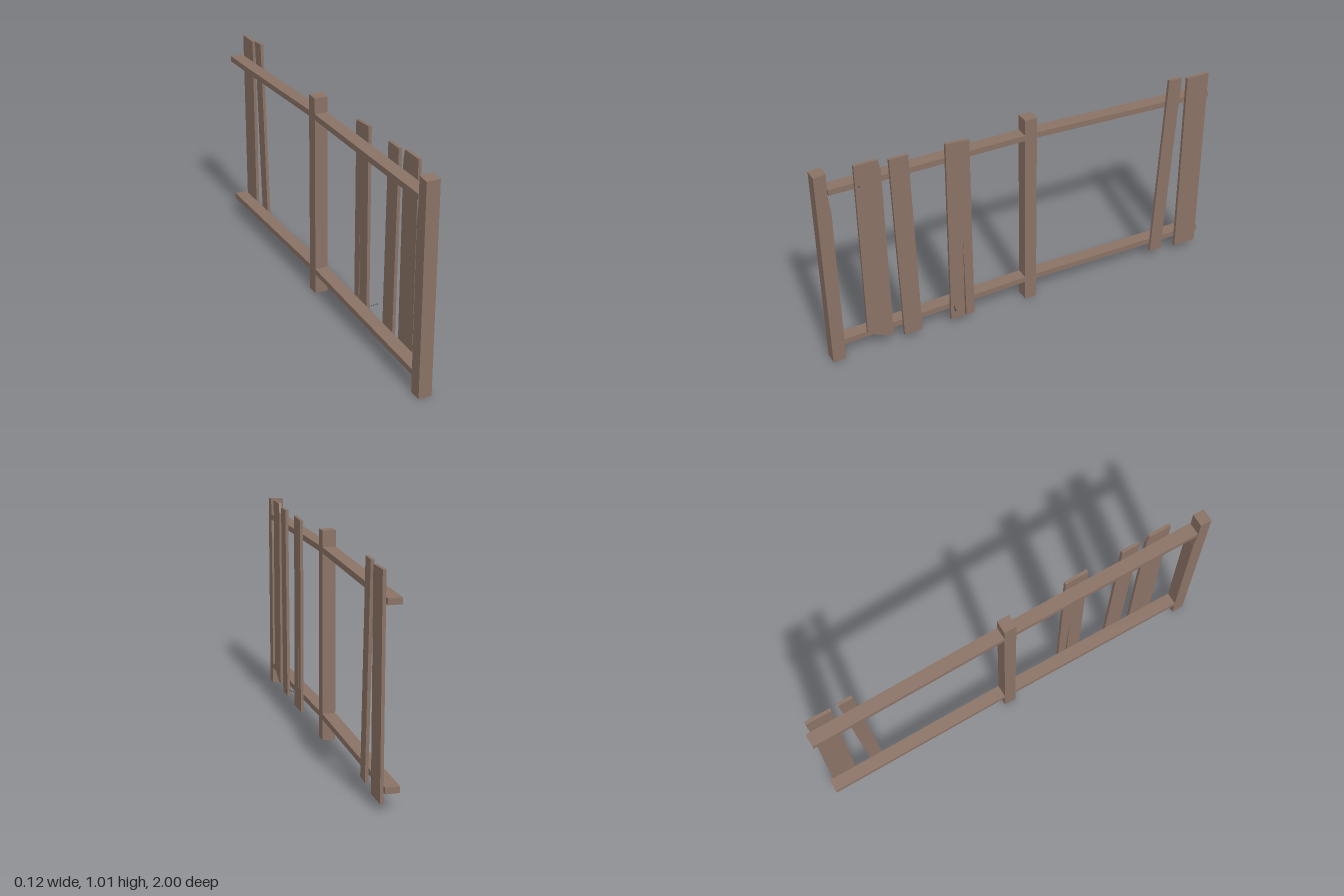
import * as THREE from 'three';

const wood = new THREE.MeshStandardMaterial({ color: 0x8a7265, side: THREE.DoubleSide });
wood.name = 'weathered wood';
const iron = new THREE.MeshStandardMaterial({ color: 0x4a4340 });
iron.name = 'rusty iron';

const BACK = -0.063, FACE = 0, PLANK = 0.015;

// Side outline given as [z, y] points, extruded across x from x0 to x1
function slab(name, points, x0, x1) {
  const shape = new THREE.Shape(points.map(([z, y]) => new THREE.Vector2(z, y)));
  const geo = new THREE.ExtrudeGeometry(shape, { depth: x1 - x0, bevelEnabled: false });
  geo.rotateY(-Math.PI / 2).translate(x1, 0, 0);
  const mesh = new THREE.Mesh(geo, wood);
  mesh.name = name;
  return mesh;
}

// Removes the faces that point down, leaving the foot open
function openFoot(mesh) {
  const pos = mesh.geometry.attributes.position, nor = mesh.geometry.attributes.normal;
  const p = [], n = [];
  for (let i = 0; i < pos.count; i += 3) {
    if (nor.getY(i) < -0.7) continue;
    for (let k = i; k < i + 3; k++) {
      p.push(pos.getX(k), pos.getY(k), pos.getZ(k));
      n.push(nor.getX(k), nor.getY(k), nor.getZ(k));
    }
  }
  const geo = new THREE.BufferGeometry();
  geo.setAttribute('position', new THREE.Float32BufferAttribute(p, 3));
  geo.setAttribute('normal', new THREE.Float32BufferAttribute(n, 3));
  mesh.geometry = geo;
  return mesh;
}

// Rail following a centre line of [z, y] points
function rail(name, line, half = 0.014) {
  const top = line.map(([z, y]) => [z, y + half]);
  const bottom = line.map(([z, y]) => [z, y - half]).reverse();
  return slab(name, [...top, ...bottom], BACK, FACE);
}

// Bent nail: thin shank with a flat head at its outer end
function nail(name, from, to) {
  const a = new THREE.Vector3(...from), b = new THREE.Vector3(...to);
  const length = a.distanceTo(b);
  const group = new THREE.Group();
  const shank = new THREE.Mesh(new THREE.CylinderGeometry(0.0018, 0.0018, length, 6), iron);
  shank.name = 'nailShank';
  shank.position.y = length / 2;
  const head = new THREE.Mesh(new THREE.CylinderGeometry(0.005, 0.005, 0.003, 8), iron);
  head.name = 'nailHead';
  head.position.y = length;
  group.add(shank, head);
  group.position.copy(a);
  group.quaternion.setFromUnitVectors(new THREE.Vector3(0, 1, 0), b.sub(a).normalize());
  group.name = name;
  return group;
}

export function createModel() {
  const fence = new THREE.Group();
  fence.name = 'brokenFence';

  // Posts
  fence.add(
    openFoot(slab('endPost', [[0.997, 0], [1, 1], [0.943, 1.005], [0.945, 0.9], [0.935, 0.8], [0.935, 0]], BACK, FACE)),
    openFoot(slab('middlePost', [[0, 0], [0, 1], [-0.06, 1], [-0.06, 0]], BACK, FACE))
  );

  // Sagging rails
  fence.add(
    rail('upperRail', [[0.94, 0.91], [-0.06, 0.91], [-0.8, 0.881], [-1, 0.876]]),
    rail('lowerRail', [[0.94, 0.098], [0.4, 0.108], [0, 0.117], [-0.06, 0.117], [-0.8, 0.101], [-1, 0.097]])
  );

  // Crooked, chipped planks
  const planks = [
    [[0.825, 1.015], [0.715, 1.015], [0.704, 0.965], [0.7, 0.066], [0.735, 0.066], [0.825, 0.115]],
    [[0.665, 1], [0.575, 1], [0.555, 0.038], [0.645, 0.035]],
    [[0.4, 1], [0.285, 0.992], [0.283, 0.035], [0.325, 0.035], [0.331, 0.5], [0.333, 0.035], [0.405, 0.035]],
    [[-0.757, 1.015], [-0.827, 1.011], [-0.775, 0.05], [-0.71, 0.055]],
    [[-0.86, 1], [-0.98, 1], [-0.98, 0.035], [-0.86, 0.035]],
  ];
  planks.forEach((outline, i) => fence.add(slab(`plank${i + 1}`, outline, FACE, PLANK)));

  // Loose nails
  fence.add(
    nail('upperNail', [0.008, 0.908, 0.8], [0.032, 0.92, 0.814]),
    nail('lowerNail', [0.008, 0.107, 0.385], [0.057, 0.119, 0.402])
  );
  return fence;
}
